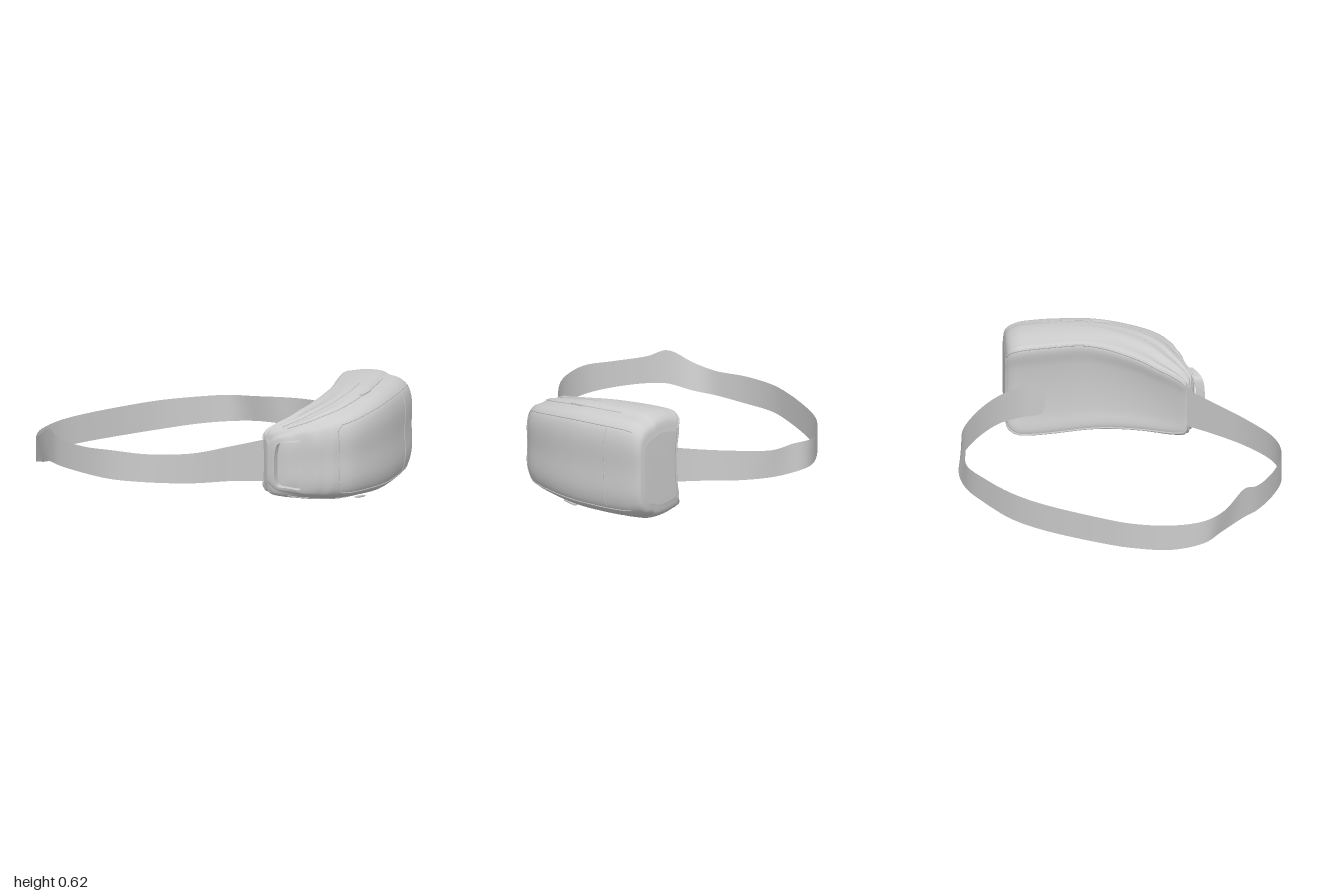
import * as THREE from 'three';

const V = (x, y, z) => new THREE.Vector3(x, y, z);
const spline = (pts, closed = false) => new THREE.CatmullRomCurve3(pts, closed, 'centripetal');

// Bag stations from the tapered end to the wide end: inner x, z, outer x, z, low y, high y
const STATIONS = [
  [-0.11, 0.525, -0.12, 0.57, 0.18, 0.42], [-0.10, 0.515, -0.09, 0.64, 0.13, 0.465],
  [-0.03, 0.51, 0.0, 0.71, 0.10, 0.50], [0.08, 0.50, 0.09, 0.78, 0.08, 0.53],
  [0.15, 0.49, 0.16, 0.815, 0.07, 0.555], [0.25, 0.47, 0.27, 0.835, 0.055, 0.58],
  [0.37, 0.43, 0.45, 0.79, 0.04, 0.61], [0.48, 0.37, 0.62, 0.71, 0.025, 0.63],
  [0.58, 0.28, 0.76, 0.62, 0.02, 0.635], [0.68, 0.19, 0.88, 0.53, 0.02, 0.635],
  [0.75, 0.135, 0.96, 0.46, 0.03, 0.625], [0.80, 0.125, 1.0, 0.41, 0.06, 0.59],
  [0.84, 0.15, 0.99, 0.37, 0.12, 0.52],
];
const innerCurve = spline(STATIONS.map(([x, z, , , lo]) => V(x, lo, z)));
const outerCurve = spline(STATIONS.map(([, , x, z, , hi]) => V(x, hi, z)));

// Upper half of the cross-section (depth, height), mirrored below
const HALF = [[0.06, 0], [0.04, 0.5], [0, 0.82], [0.03, 0.92], [0.12, 0.95], [0.35, 1],
  [0.58, 0.99], [0.66, 0.94], [0.82, 0.89], [0.94, 0.76], [1, 0.52], [1, 0]];
const PROFILE = HALF.concat(HALF.slice(1, -1).reverse().map(([u, v]) => [u, -v]));
const ring = spline(PROFILE.map(([u, v]) => V(u, v, 0)), true);
const N = PROFILE.length;

// Point on the bag: t runs along it, r counts profile points around it
function bagPoint(t, r) {
  const a = innerCurve.getPoint(t), b = outerCurve.getPoint(t);
  const { x: u, y: v } = ring.getPoint((((r % N) + N) % N) / N);
  const p = V(a.x + (b.x - a.x) * u, 0, a.z + (b.z - a.z) * u);
  p.y = (a.y + b.y) / 2 + v * (b.y - a.y) / 2;
  // soft pleats fading away from the tapered end
  const pleat = Math.max(0, 1 - t / 0.55) * Math.min(1, t * 12);
  const edge = THREE.MathUtils.smoothstep(Math.abs(v), 0.6, 0.95);
  p.y += Math.sign(v) * edge * pleat * 0.012 * Math.sin(u * 22);
  if (u > 0.8 && t < 0.34) p.z += 0.007 * pleat * Math.sin(t * 62) * (u - 0.8) * 5;
  return p;
}

function bagGeometry(rows = 110, cols = 132) {
  const pos = [], idx = [];
  for (let i = 0; i <= rows; i++)
    for (let j = 0; j < cols; j++) pos.push(...bagPoint(i / rows, j * N / cols).toArray());
  for (let i = 0; i < rows; i++)
    for (let j = 0; j < cols; j++) {
      const k = (j + 1) % cols, a = i * cols, b = a + cols;
      idx.push(a + j, a + k, b + j, a + k, b + k, b + j);
    }
  // end caps
  for (const t of [0, 1]) {
    const c = pos.length / 3, base = t * rows * cols;
    pos.push(...bagPoint(t, 0).add(bagPoint(t, N / 2)).multiplyScalar(0.5).toArray());
    for (let j = 0; j < cols; j++) {
      const a = base + j, b = base + (j + 1) % cols;
      idx.push(c, t ? a : b, t ? b : a);
    }
  }
  return surface(pos, idx);
}

function surface(pos, idx) {
  const g = new THREE.BufferGeometry();
  g.setAttribute('position', new THREE.Float32BufferAttribute(pos, 3));
  g.setIndex(idx);
  g.computeVertexNormals();
  return g;
}

// Thin band between two edge curves
function ribbon(edgeA, edgeB, n) {
  const pos = [], idx = [];
  for (let i = 0; i <= n; i++) {
    pos.push(...edgeA.getPoint(i / n).toArray(), ...edgeB.getPoint(i / n).toArray());
    if (i < n) idx.push(2 * i, 2 * i + 2, 2 * i + 1, 2 * i + 1, 2 * i + 2, 2 * i + 3);
  }
  return surface(pos, idx);
}

// Waist strap: x, z, low y, high y, outward lean of the lower edge
const STRAP = [
  [-0.08, 0.53, 0.18, 0.42], [-0.3, 0.495, 0.205, 0.405], [-0.55, 0.45, 0.22, 0.39],
  [-0.78, 0.35, 0.24, 0.40], [-0.92, 0.2, 0.25, 0.415], [-0.98, 0.02, 0.26, 0.41],
  [-0.995, -0.18, 0.265, 0.42], [-0.975, -0.29, 0.262, 0.45, -0.01], [-0.93, -0.43, 0.225, 0.375, -0.03],
  [-0.88, -0.54, 0.2, 0.34], [-0.75, -0.67, 0.18, 0.335], [-0.55, -0.77, 0.18, 0.335],
  [-0.35, -0.81, 0.175, 0.335], [0, -0.838, 0.165, 0.33], [0.2, -0.825, 0.165, 0.33],
  [0.4, -0.77, 0.175, 0.33], [0.57, -0.695, 0.18, 0.33], [0.67, -0.58, 0.185, 0.335, 0.035],
  [0.775, -0.41, 0.185, 0.34], [0.803, -0.2, 0.19, 0.36], [0.775, 0, 0.195, 0.375],
  [0.71, 0.14, 0.185, 0.38], [0.645, 0.205, 0.19, 0.38], [0.63, 0.22, 0.21, 0.36], [0.625, 0.225, 0.25, 0.32],
];

export function createModel() {
  const model = new THREE.Group();
  const mat = new THREE.MeshStandardMaterial({ color: 0xcccccc });
  const thin = new THREE.MeshStandardMaterial({ color: 0xcccccc, side: THREE.DoubleSide });
  const add = (name, geo, m = mat) => {
    const mesh = new THREE.Mesh(geo, m);
    mesh.name = name;
    model.add(mesh);
    return mesh;
  };
  add('bagBody', bagGeometry());

  const strapEdge = (k, side) => spline(STRAP.map((s) => {
    const lean = (s[4] || 0) * side / Math.hypot(s[0], s[1]);
    return V(s[0] * (1 - lean * 0.5), s[k], s[1] * (1 - lean * 0.5));
  }));
  add('waistStrap', ribbon(strapEdge(2, -1), strapEdge(3, 1), 200), thin);

  // Raised seams drawn on the bag between (t, r) corners
  const seam = (name, corners, radius) => {
    const pts = [];
    for (let c = 0; c < corners.length - 1; c++)
      for (let i = 0; i < 24; i++) {
        const f = i / 24, [t0, r0] = corners[c], [t1, r1] = corners[c + 1];
        pts.push(bagPoint(t0 + (t1 - t0) * f, r0 + (r1 - r0) * f));
      }
    pts.push(bagPoint(...corners[corners.length - 1]));
    add(name, new THREE.TubeGeometry(spline(pts), 100, radius, 6));
  };
  seam('pocketSeam', [[0.84, 9], [0.38, 9], [0.355, 9.4], [0.355, 12.6], [0.38, 13], [0.84, 13]], 0.004);
  seam('pocketFold', [[0.72, 9.2], [0.72, 12.8]], 0.003);
  for (const [side, f] of [['top', (r) => r], ['bottom', (r) => N - r]]) {
    seam(side + 'BackPiping', [[0.02, f(2.6)], [0.97, f(2.6)]], 0.006);
    seam(side + 'MainZip', [[0.15, f(5.4)], [0.6, f(5.4)]], 0.004);
    seam(side + 'FrontZip', [[0.15, f(7)], [0.72, f(7)]], 0.004);
  }
  seam('endPiping', [[0.96, 2.6], [0.96, -2.6]], 0.006);

  // Zip pulls
  for (const [name, t, r, dy] of [['topZipPull', 0.55, 7, 0.004], ['bottomZipPull', 0.52, N - 7, -0.018]]) {
    const pull = add(name, new THREE.BoxGeometry(0.09, 0.008, 0.022));
    pull.position.copy(bagPoint(t, r));
    pull.position.y += dy;
    pull.rotation.set(0, 0.45, dy < 0 ? -0.12 : 0.05);
  }

  // Webbing loop standing off the tapered end
  const loop = [[0.0, 0.43, 0.715], [-0.06, 0.43, 0.68], [-0.1, 0.42, 0.655], [-0.115, 0.38, 0.65],
    [-0.12, 0.3, 0.648], [-0.115, 0.21, 0.65], [-0.1, 0.18, 0.655], [-0.06, 0.17, 0.68], [0.0, 0.155, 0.715]];
  const loopEdge = (d) => spline(loop.map(([x, y, z]) => V(x + d, y, z - d * 0.6)));
  add('webbingLoop', ribbon(loopEdge(-0.022), loopEdge(0.022), 48), thin);
  return model;
}
